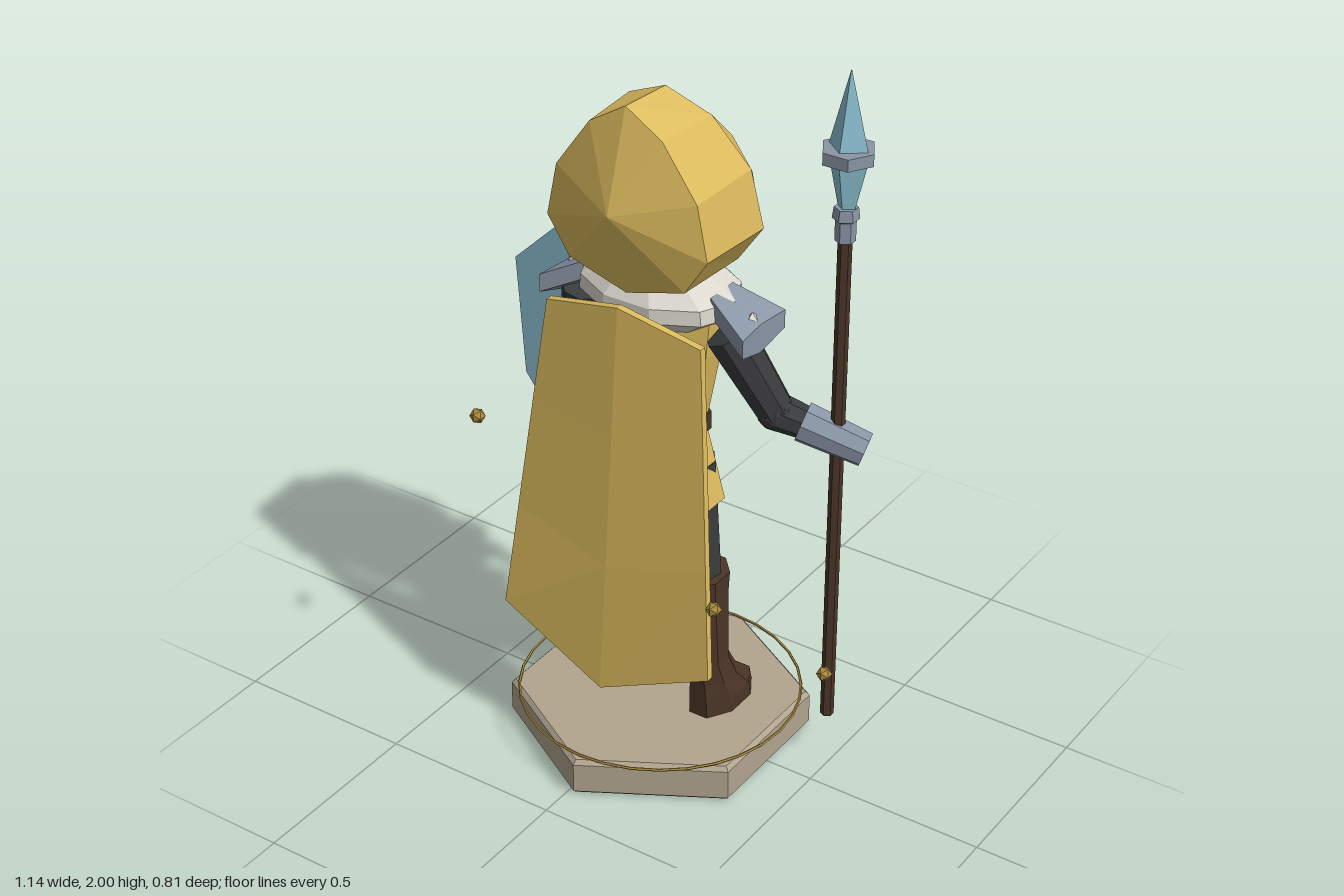
import * as THREE from 'three';

const mat = (name, color) => {
  const m = new THREE.MeshStandardMaterial({ color });
  m.name = name;
  return m;
};
const V = (x, y, z) => new THREE.Vector3(x, y, z);

// Facets every face so edges look crisp
function flat(geo) {
  const g = geo.index ? geo.toNonIndexed() : geo;
  g.computeVertexNormals();
  return g;
}

// Skin over equal-length loops of points, optionally capped
function loft(rings, capStart = true, capEnd = true) {
  const p = [];
  const tri = (...vs) => vs.forEach(v => p.push(v.x, v.y, v.z));
  const n = rings[0].length;
  const mid = r => r.reduce((s, v) => s.add(v), V(0, 0, 0)).divideScalar(n);
  const last = rings[rings.length - 1];
  for (let j = 0; j < n; j++) {
    const k = (j + 1) % n;
    for (let i = 0; i < rings.length - 1; i++) {
      const a = rings[i], b = rings[i + 1];
      tri(a[j], a[k], b[k]);
      tri(a[j], b[k], b[j]);
    }
    if (capStart) tri(mid(rings[0]), rings[0][k], rings[0][j]);
    if (capEnd) tri(mid(last), last[j], last[k]);
  }
  const g = new THREE.BufferGeometry();
  g.setAttribute('position', new THREE.Float32BufferAttribute(p, 3));
  return g;
}

// Stacked horizontal polygons, each [y, halfX, halfZ, centreX, centreZ]
function stack(sections, sides, turn = 0) {
  return loft(sections.map(([y, hx, hz, cx = 0, cz = 0]) =>
    Array.from({ length: sides }, (_, i) => {
      const t = (i + turn) / sides * Math.PI * 2;
      return V(cx + hx * Math.sin(t), y, cz + hz * Math.cos(t));
    })));
}

// Applies a rule to every vertex
function bend(geo, rule) {
  const p = geo.attributes.position;
  const v = V(0, 0, 0);
  for (let i = 0; i < p.count; i++) {
    v.fromBufferAttribute(p, i);
    rule(v, i);
    p.setXYZ(i, v.x, v.y, v.z);
  }
  return geo;
}

export function createModel() {
  const gold = mat('gold cloth', 0xdcbb5e);
  const brass = mat('brass', 0xa88a3e);
  const blue = mat('pale blue', 0x8abfd0);
  const steel = mat('steel', 0x8a95a5);
  const cream = mat('cream', 0xdcd8ce);
  const charcoal = mat('charcoal', 0x3a3b3d);
  const brown = mat('dark brown', 0x4b3527);
  const navy = mat('navy', 0x1c2f5a);
  const skin = mat('skin', 0xa67e58);
  const stone = mat('stone', 0xb2a58f);
  gold.side = THREE.DoubleSide;

  const model = new THREE.Group();
  model.name = 'hoodedGuard';
  model.position.x = 0.02;
  const root = new THREE.Group();
  root.add(model);
  const add = (name, geo, material, x = 0, y = 0, z = 0) => {
    const m = new THREE.Mesh(flat(geo), material);
    m.name = name;
    m.position.set(x, y, z);
    model.add(m);
    return m;
  };
  const limb = (name, a, b, ra, rb, material, sides = 8) => {
    const m = add(name, new THREE.CylinderGeometry(rb, ra, a.distanceTo(b), sides), material);
    m.position.copy(a).lerp(b, 0.5);
    m.quaternion.setFromUnitVectors(V(0, 1, 0), b.clone().sub(a).normalize());
  };

  // Base with a thin ring
  add('base', stack([[0, 0.393, 0.393], [0.01, 0.405, 0.405], [0.095, 0.405, 0.405], [0.107, 0.393, 0.393]], 6), stone);
  add('baseRing', new THREE.TorusGeometry(0.381, 0.004, 5, 32).rotateX(Math.PI / 2), brass, 0, 0.115, 0);

  // Legs and boots
  for (const s of [-1, 1]) {
    limb('leg', V(s * 0.085, 0.86, 0.005), V(s * 0.125, 0.47, 0), 0.078, 0.062, charcoal);
    add('boot', stack([
      [0.107, 0.072, 0.12, s * 0.158, -0.057], [0.15, 0.07, 0.115, s * 0.158, -0.052],
      [0.205, 0.062, 0.08, s * 0.155, -0.02], [0.27, 0.056, 0.065, s * 0.15, 0],
      [0.48, 0.075, 0.082, s * 0.127, 0.003], [0.535, 0.082, 0.09, s * 0.122, 0.003]], 8, 0.5), brown);
  }

  // Tunic, belt and skirt split at the front
  add('tunic', stack([[0.96, 0.132, 0.092, 0, 0.012], [1.2, 0.18, 0.098, 0, 0.01],
    [1.32, 0.19, 0.09, 0, 0.01]], 8, 0.5), gold);
  add('belt', stack([[0.955, 0.148, 0.106, 0, 0.012], [1.005, 0.148, 0.106, 0, 0.012]], 8, 0.5), brown);
  add('buckle', new THREE.BoxGeometry(0.05, 0.05, 0.02), steel, 0, 0.98, -0.092);
  const skirt = new THREE.CylinderGeometry(0.72, 1, 0.24, 10, 1, true).rotateY(Math.PI);
  const sp = skirt.attributes.position;
  bend(skirt, (v, i) => {
    const seam = v.z < -0.9 && v.y < 0;
    v.x = v.x * 0.19 + (seam ? (i < sp.count - 1 ? -0.035 : 0.035) : 0);
    v.z = v.z * 0.13 + 0.012;
    if (v.y < 0 && !seam && Math.abs(v.x) > 0.15) v.y += 0.03;
  });
  add('skirt', skirt, gold, 0, 0.85, 0);

  // Cape, flaring and folding about its middle
  add('cape', bend(new THREE.BoxGeometry(2, 1, 0.02, 2, 3, 1), v => {
    const u = Math.abs(v.x), t = v.y + 0.5;
    v.x *= 0.32 - 0.09 * t;
    v.y = THREE.MathUtils.lerp(0.27 + 0.14 * u, 1.36 - 0.055 * u, t);
    v.z += 0.27 - 0.09 * t - 0.022 * u;
  }), gold);

  // Mantle and shoulder plates
  add('mantle', stack([[1.27, 0.15, 0.11], [1.32, 0.225, 0.16], [1.36, 0.22, 0.16], [1.42, 0.13, 0.12]], 10, 0.5), cream);
  for (const s of [-1, 1]) {
    const plate = new THREE.BoxGeometry(1, 1, 2, 1, 1, 2);
    add('shoulderPlate', bend(plate, v => {
      const out = s * v.x + 0.5;
      v.y = 1.355 - 0.06 * out + v.y * 0.05 - (v.y < 0 && v.z === 0 ? 0.03 * out : 0);
      v.x = s * (0.18 + 0.125 * out - (v.z === 0 ? 0.01 * out : 0));
      v.z *= 0.05 + 0.047 * out;
    }), steel);
    add('shoulderGem', new THREE.OctahedronGeometry(1).scale(0.016, 0.02, 0.028), cream, s * 0.27, 1.325, 0);
  }

  // Arms: spear arm on +x, shield arm on -x
  const arms = [
    [V(0.21, 1.28, 0.015), V(0.315, 1.055, -0.05), V(0.375, 1.03, -0.08), V(0.53, 0.975, -0.13)],
    [V(-0.22, 1.28, 0.015), V(-0.265, 1.02, -0.015), V(-0.28, 1.005, -0.035), V(-0.415, 0.965, -0.145)],
  ];
  for (const [shoulder, elbow, cuff, hand] of arms) {
    limb('upperArm', shoulder, elbow, 0.062, 0.05, charcoal);
    limb('forearm', elbow, cuff.clone().lerp(hand, 0.1), 0.05, 0.042, charcoal);
    add('elbow', new THREE.IcosahedronGeometry(0.052, 1), charcoal, elbow.x, elbow.y, elbow.z);
    limb('gauntlet', cuff, hand, 0.054, 0.046, steel);
  }

  // Hood: loops run top, side, bottom, other side
  const loop = (pts) => {
    const half = pts.map(p => V(...p));
    return half.concat(half.slice(1, -1).reverse().map(p => V(-p.x, p.y, p.z)));
  };
  const backTip = loop(Array.from({ length: 6 }, () => [0, 1.625, 0.23]));
  const backRing = loop([[0, 1.885, 0.15], [0.105, 1.82, 0.15], [0.205, 1.68, 0.15],
    [0.235, 1.535, 0.15], [0.17, 1.435, 0.15], [0, 1.385, 0.15]]);
  const midRing = loop([[0, 1.875, -0.02], [0.12, 1.82, -0.04], [0.215, 1.69, -0.07],
    [0.248, 1.535, -0.08], [0.175, 1.43, -0.08], [0, 1.38, -0.08]]);
  const rim = loop([[0, 1.735, -0.178], [0.09, 1.705, -0.178], [0.155, 1.625, -0.172],
    [0.18, 1.525, -0.165], [0.13, 1.43, -0.158], [0, 1.385, -0.155]]);
  add('hood', loft([backTip, backRing, midRing, rim], false, false), gold);
  const inside = rim.map(p => V(p.x * 0.93, 1.555 + (p.y - 1.555) * 0.93, -0.03));
  add('hoodLining', loft([rim, inside], false, true), navy);

  // Face with a central ridge
  add('face', stack([[1.415, 0.05, 0.06, 0, -0.08], [1.48, 0.095, 0.085, 0, -0.075],
    [1.62, 0.125, 0.098, 0, -0.07], [1.7, 0.085, 0.075, 0, -0.07]], 6), skin);
  add('nose', new THREE.ConeGeometry(0.022, 0.07, 4), skin, 0, 1.555, -0.162);
  for (const s of [-1, 1]) {
    const eye = add('eye', new THREE.CylinderGeometry(0.018, 0.018, 0.009, 6).rotateX(Math.PI / 2).scale(1.2, 0.9, 1),
      navy, s * 0.052, 1.6, -0.149);
    eye.rotation.set(0.05, -s * 0.42, s * 0.25);
  }

  // Spear
  const sx = 0.462, sz = -0.105;
  add('spearShaft', new THREE.CylinderGeometry(0.018, 0.018, 1.42, 6), brown, sx, 0.855, sz);
  add('spearSocket', stack([[1.555, 0.026, 0.026], [1.61, 0.026, 0.026], [1.615, 0.034, 0.034], [1.645, 0.03, 0.03]], 6), steel, sx, 0, sz);
  add('spearBlade', stack([[1.635, 0.022, 0.018], [1.785, 0.058, 0.045], [2, 0.001, 0.001]], 4), blue, sx, 0, sz);
  add('spearGuard', new THREE.CylinderGeometry(0.07, 0.07, 0.032, 6).rotateY(Math.PI / 6), steel, sx, 1.785, sz);

  // Shield: hexagonal slab with a raised point, facing -z
  const hex = (k, z) => loop([[0, 0.38 * k, z], [0.213 * k, 0.175 * k, z], [0.187 * k, -0.17 * k, z], [0, -0.42 * k, z]]);
  const shieldX = -0.375, shieldY = 0.99;
  add('shieldSlab', loft([hex(1, -0.178), hex(1, -0.232), hex(0.96, -0.238)]), blue, shieldX, shieldY, 0);
  add('shieldPoint', loft([hex(0.87, -0.23), hex(0.87, -0.245), hex(0.001, -0.335)]), blue, shieldX, shieldY, 0);
  add('shieldStrap', new THREE.BoxGeometry(0.07, 0.1, 0.04), brown, -0.36, 0.98, -0.16);

  // Floating beads
  for (const [x, y, z] of [[-0.36, 0.985, 0.297], [0.36, 0.67, 0.297], [0.51, 0.355, 0]])
    add('bead', new THREE.IcosahedronGeometry(0.021, 0), brass, x, y, z);

  return root;
}
